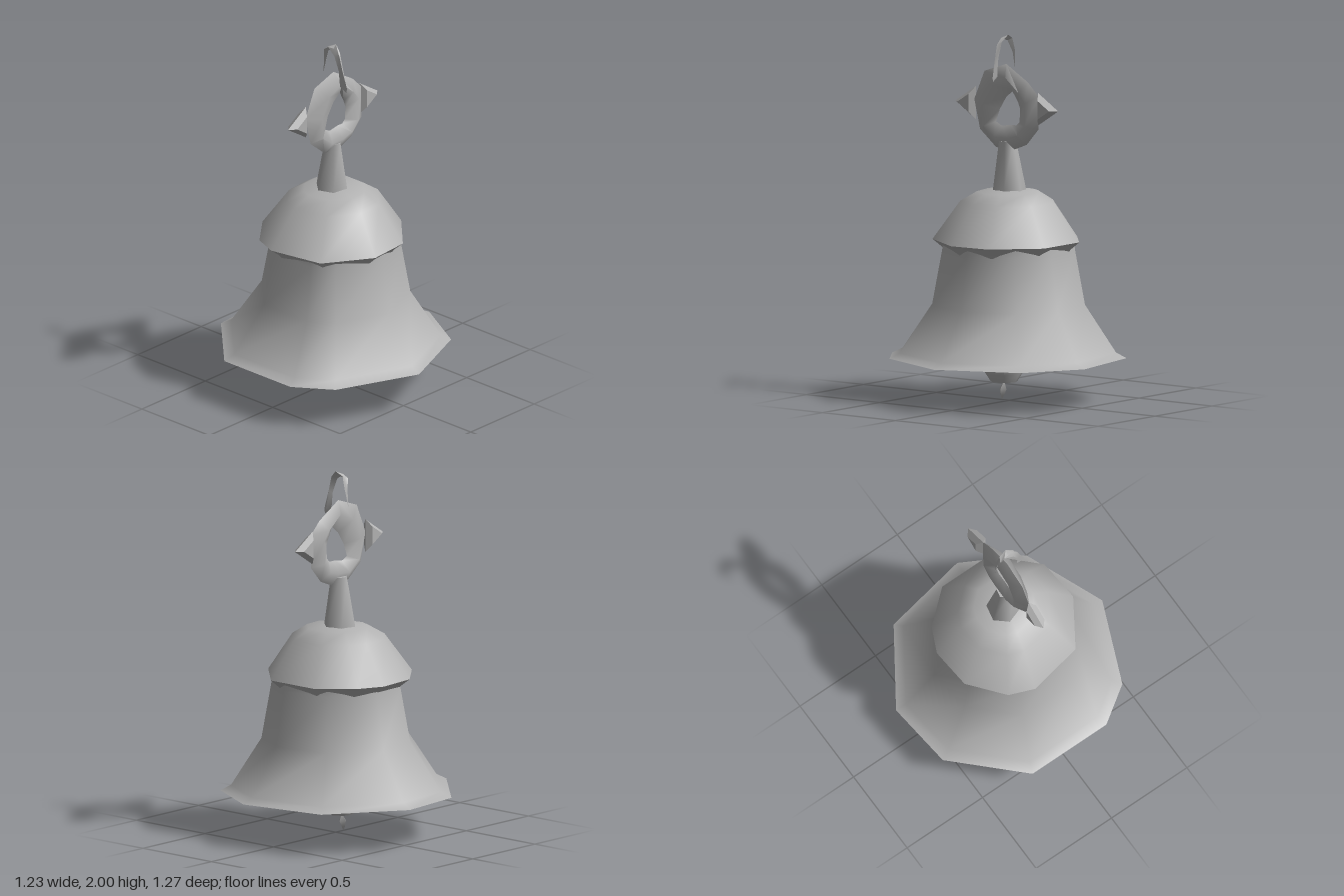
import * as THREE from 'three';
import { toCreasedNormals } from 'three/addons/utils/BufferGeometryUtils.js';

const metal = new THREE.MeshStandardMaterial({ color: 0xb2b2b2, side: THREE.DoubleSide });
metal.name = 'grey metal';

// Skin a list of equal-length closed sections of [x, y, z] points.
function loft(name, rings, crease = 1) {
  const n = rings[0].length, index = [];
  for (let i = 0; i < rings.length - 1; i++) {
    for (let j = 0; j < n; j++) {
      const a = i * n + j, b = i * n + (j + 1) % n;
      index.push(a, a + n, b, b, a + n, b + n);
    }
  }
  const geo = new THREE.BufferGeometry();
  geo.setAttribute('position', new THREE.Float32BufferAttribute(rings.flat(2), 3));
  geo.setIndex(index);
  const mesh = new THREE.Mesh(toCreasedNormals(geo, crease), metal);
  mesh.name = name;
  return mesh;
}

// Horizontal section: an [x, z] outline scaled by s at height y.
const section = (outline, s, y, cx = 0, cz = 0) =>
  outline.map(([x, z]) => [cx + x * s, y, cz + z * s]);

const polygon = (n, turn = 0) => Array.from({ length: n }, (_, i) => {
  const a = turn + i / n * Math.PI * 2;
  return [Math.cos(a), Math.sin(a)];
});

// Hand-cut, slightly irregular outlines.
const rim = [[-0.615, -0.25], [-0.27, -0.6], [0.11, -0.64], [0.52, -0.365], [0.61, 0.12],
  [0.43, 0.45], [-0.02, 0.635], [-0.475, 0.445], [-0.615, 0.24]];
const shoulder = [[-0.17, -0.385], [0.06, -0.405], [0.2, -0.34], [0.355, -0.16], [0.355, 0.15],
  [0.14, 0.365], [-0.1, 0.385], [-0.355, 0.22], [-0.415, -0.09], [-0.36, -0.23]];

export function createModel() {
  const bell = new THREE.Group();
  bell.name = 'bell';

  // Skirt: inner shell downwards, around the lip, outer shell upwards.
  const skirt = [[0, 0.98], [0.32, 0.97], [0.49, 0.83], [0.6, 0.52], [0.86, 0.27], [0.93, 0.245],
    [1, 0.24], [0.91, 0.27], [0.645, 0.53], [0.56, 0.83], [0.55, 0.88]];
  bell.add(loft('skirt', skirt.map(([s, y]) => section(rim, s, y)), 1.1));

  // Dome with a projecting shoulder.
  const dome = [[0.84, 0.82], [0.88, 0.84], [1, 0.88], [0.64, 1.09], [0.42, 1.145], [0, 1.16]];
  bell.add(loft('dome', dome.map(([s, y]) => section(shoulder, s, y)), 1.3));

  // Tapered neck.
  const six = polygon(6, 0.2);
  bell.add(loft('neck', [
    section(six, 0.092, 1.12, -0.013, -0.018),
    section(six, 0.09, 1.16, -0.013, -0.018),
    section(six, 0.047, 1.42, -0.018, -0.008),
    section(six, 0, 1.42, -0.018, -0.008)], 1.1));

  // Ring with an off-centre hole and a diamond cross-section.
  const outer = [[0.2, 1.5], [0.2, 1.68], [0.13, 1.75], [-0.02, 1.84], [-0.17, 1.79],
    [-0.24, 1.63], [-0.2, 1.47], [-0.09, 1.38], [0.03, 1.375], [0.12, 1.41]];
  const inner = [[0.07, 1.53], [0.075, 1.6], [0.06, 1.64], [0.03, 1.7], [-0.02, 1.66],
    [-0.065, 1.59], [-0.09, 1.52], [-0.05, 1.5], [0.01, 1.51], [0.05, 1.51]];
  const slices = outer.map(([x, y], i) => {
    const [u, v] = inner[i], mx = (x + u) / 2, my = (y + v) / 2;
    return [[x, y, 0], [mx, my, 0.042], [u, v, 0], [mx, my, -0.042]];
  });
  bell.add(loft('ring', [...slices, slices[0]], 1.3));

  // Bevelled triangular ears on both sides of the ring.
  const triangle = [[-0.055, -0.09], [-0.055, 0.09], [0.085, 0]];
  const ear = (name, x, side) => bell.add(loft(name,
    [[0, -0.036], [0.55, -0.036], [1, -0.005], [0.55, 0.028], [0, 0.028]].map(([s, z]) =>
      triangle.map(([u, v]) => [x + side * u * s, 1.61 + side * v * s, z])), 0.5));
  ear('leftEar', 0.247, 1);
  ear('rightEar', -0.288, -1);

  // Thin bent hook: [x, y, z, half width in z, half width in x].
  const hook = [[-0.03, 1.75, 0.105, 0, 0], [-0.025, 1.775, 0.085, 0.024, 0.008],
    [-0.03, 1.87, 0.07, 0.012, 0.01], [-0.03, 1.95, 0.045, 0.016, 0.014],
    [-0.02, 1.985, 0.005, 0.03, 0.016], [-0.025, 1.965, -0.04, 0.014, 0.014],
    [-0.015, 1.9, -0.06, 0.006, 0.008], [-0.02, 1.81, -0.075, 0, 0]];
  bell.add(loft('hook', hook.map(([x, y, z, w, t]) =>
    [[x - t, y, z - w], [x + t, y + t, z], [x - t / 2, y, z + w]]), 0.7));

  // Clapper: stem and faceted bulb.
  const clapper = [[0, 0.105], [0.075, 0.105], [0.105, 0.15], [0.12, 0.2], [0.085, 0.24],
    [0.06, 0.27], [0.045, 0.98]];
  bell.add(loft('clapper', clapper.map(([s, y]) => section(polygon(7), s, y, -0.04, -0.005)), 0.95));

  // Small drop hanging under the clapper.
  bell.add(loft('drop', [[0, 0.005], [0.012, 0.03], [0.024, 0.062], [0, 0.11]].map(([s, y]) =>
    section(polygon(4), s, y, -0.05 + (y - 0.05) * 0.15, -0.007)), 0.6));

  return bell;
}
